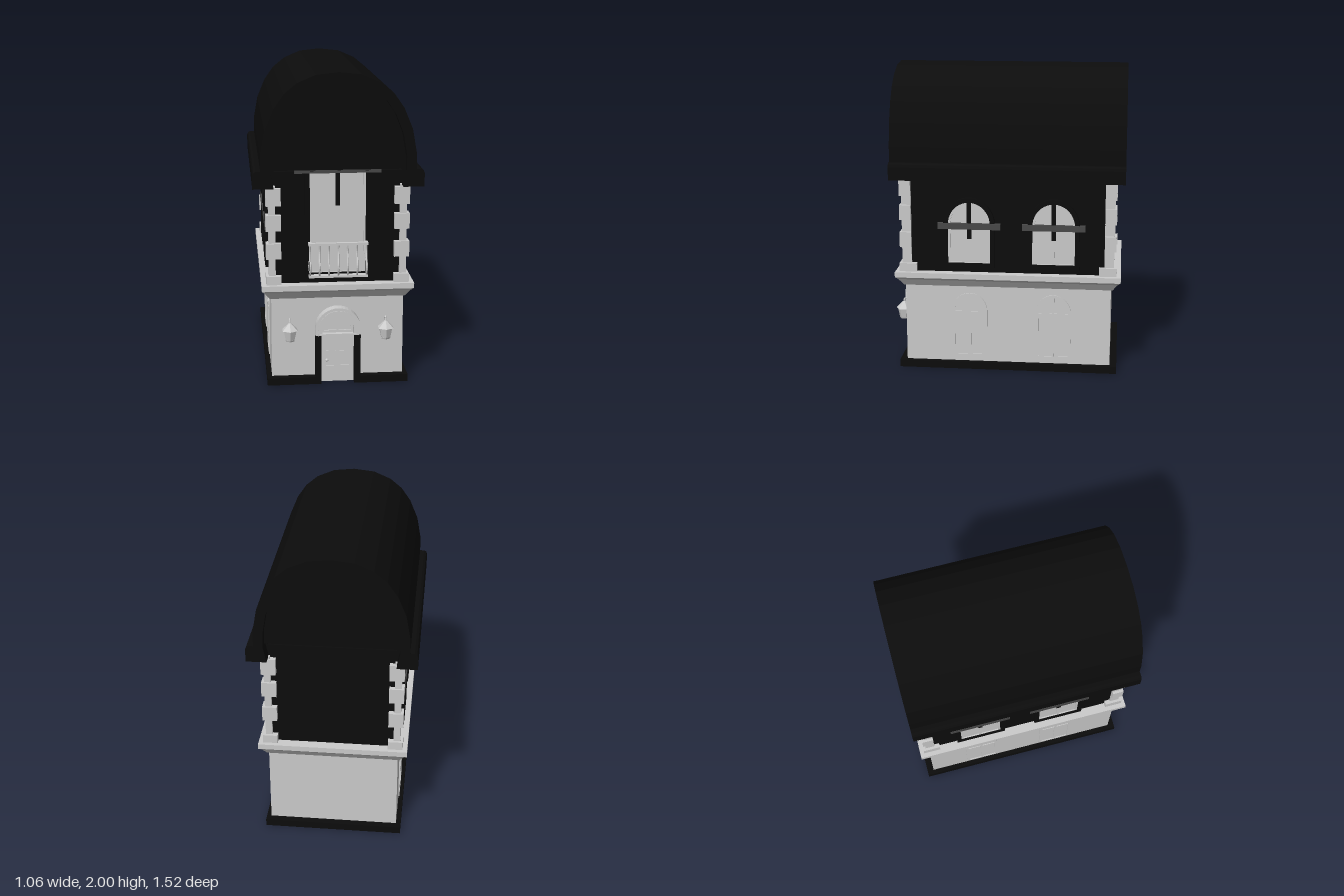
import * as THREE from 'three';

const mat = (color) => new THREE.MeshStandardMaterial({ color, side: THREE.DoubleSide, flatShading: true });
const GREY = mat(0xcccccc), BLACK = mat(0x0c0c0c), DARK = mat(0x484848);

function add(parent, name, geometry, material = GREY, x = 0, y = 0, z = 0) {
  const mesh = new THREE.Mesh(geometry, material);
  mesh.name = name;
  mesh.position.set(x, y, z);
  parent.add(mesh);
  return mesh;
}

// Box given by its minimum and maximum corners
function block(parent, name, a, b, material) {
  const size = b.map((v, i) => Math.abs(v - a[i])), mid = b.map((v, i) => (v + a[i]) / 2);
  return add(parent, name, new THREE.BoxGeometry(...size), material, ...mid);
}

// Box whose upper rectangle differs from its lower one (half sizes)
function flare(parent, name, lower, upper, y0, y1, material) {
  const g = new THREE.BoxGeometry(2, y1 - y0, 2), p = g.attributes.position;
  for (let i = 0; i < p.count; i++) {
    const half = p.getY(i) > 0 ? upper : lower;
    p.setX(i, p.getX(i) * half[0]);
    p.setZ(i, p.getZ(i) * half[1]);
  }
  g.computeVertexNormals();
  return add(parent, name, g, material, 0, (y0 + y1) / 2, 0);
}

// Round-headed outline: half width, bottom, spring line, top
function archShape(w, bottom, spring, top) {
  const s = new THREE.Shape();
  s.moveTo(-w, bottom).lineTo(w, bottom).lineTo(w, spring);
  s.absellipse(0, spring, w, top - spring, 0, Math.PI, false, 0);
  s.closePath();
  return s;
}

const extrude = (shape, depth) =>
  new THREE.ExtrudeGeometry(shape, { depth, bevelEnabled: false, curveSegments: 10 });

function archRing(w, bottom, spring, top, t, depth) {
  const s = archShape(w, bottom, spring, top);
  s.holes.push(archShape(w - t, bottom + t, spring, top - t));
  return extrude(s, depth);
}

// Arched window facing +z, with its wall plane at z = 0
function upperWindow(name, w, bottom, spring, top, bar) {
  const g = new THREE.Group();
  g.name = name;
  add(g, 'surround', archRing(w + 0.03, bottom - 0.02, spring, top + 0.03, 0.03, 0.025), BLACK);
  add(g, 'pane', extrude(archShape(w, bottom, spring, top), 0.008));
  add(g, 'casement', archRing(w, bottom, spring, top, 0.014, 0.016));
  const mid = spring - (spring - bottom) * 0.35;
  block(g, 'upperMullion', [-0.014, mid, 0], [0.014, top, 0.017], BLACK);
  block(g, 'lowerMullion', [-0.008, bottom, 0], [0.008, mid, 0.014]);
  block(g, 'transom', [-bar, spring - 0.028, 0], [bar, spring + 0.012, 0.028], DARK);
  return g;
}

function lowerWindow() {
  const g = new THREE.Group();
  g.name = 'groundFloorWindow';
  const frame = add(g, 'frame', archRing(0.115, 0.08, 0.4, 0.52, 0.018, 0.04));
  frame.position.z = -0.032;
  add(g, 'pane', extrude(archShape(0.1, 0.09, 0.4, 0.51), 0.024), GREY, 0, 0, -0.022);
  block(g, 'mullion', [-0.007, 0.09, -0.03], [0.007, 0.51, 0.007]);
  block(g, 'transom', [-0.1, 0.38, -0.03], [0.1, 0.395, 0.007]);
  return g;
}

function lantern(x) {
  const g = new THREE.Group();
  g.name = 'wallLantern';
  add(g, 'lampBody', new THREE.CylinderGeometry(0.046, 0.032, 0.065, 6), GREY, 0, 0.335, 0.712);
  add(g, 'lampBase', new THREE.CylinderGeometry(0.034, 0.03, 0.01, 6), GREY, 0, 0.3, 0.712);
  add(g, 'lampCap', new THREE.CylinderGeometry(0.008, 0.054, 0.045, 6), GREY, 0, 0.39, 0.712);
  add(g, 'finial', new THREE.CylinderGeometry(0.003, 0.006, 0.025, 6), GREY, 0, 0.424, 0.712);
  const hook = new THREE.CatmullRomCurve3([[0.67, 0.4], [0.68, 0.428], [0.698, 0.436], [0.712, 0.42]]
    .map(([z, y]) => new THREE.Vector3(0, y, z)));
  add(g, 'bracket', new THREE.TubeGeometry(hook, 10, 0.005, 6), GREY);
  g.position.x = x;
  return g;
}

function doorway() {
  const g = new THREE.Group();
  g.name = 'doorway';
  for (const s of [-1, 1])
    block(g, 'doorPilaster', [s * 0.105, 0, 0.66], [s * 0.145, 0.33, 0.72], BLACK);
  // Arch band over the pilasters
  const arch = archShape(0.145, 0.33, 0.365, 0.51);
  arch.holes.push(archShape(0.1, 0.3305, 0.365, 0.465));
  add(g, 'doorArch', extrude(arch, 0.07), GREY, 0, 0, 0.665);
  add(g, 'archMoulding', archRing(0.128, 0.33, 0.365, 0.493, 0.012, 0.008), GREY, 0, 0, 0.732);
  block(g, 'doorLeaf', [-0.105, 0.01, 0.655], [0.105, 0.33, 0.68]);
  add(g, 'fanlight', extrude(archShape(0.1, 0.33, 0.365, 0.465), 0.015), GREY, 0, 0, 0.662);
  add(g, 'fanlightFrame', archRing(0.1, 0.335, 0.36, 0.46, 0.014, 0.022), GREY, 0, 0, 0.665);
  block(g, 'fanlightBar', [-0.007, 0.34, 0.665], [0.007, 0.455, 0.686]);
  // Raised panels
  for (const s of [-1, 1])
    for (const [y0, y1] of [[0.035, 0.11], [0.13, 0.21], [0.23, 0.31]])
      block(g, 'doorPanel', [s * 0.014, y0, 0.675], [s * 0.075, y1, 0.685]);
  add(g, 'doorKnob', new THREE.SphereGeometry(0.01, 10, 8), GREY, -0.07, 0.15, 0.693);
  return g;
}

function balcony() {
  const g = new THREE.Group();
  g.name = 'balcony';
  block(g, 'balconyFloor', [-0.185, 0.712, 0.66], [0.185, 0.726, 0.735]);
  block(g, 'frontRail', [-0.187, 0.92, 0.715], [0.187, 0.936, 0.738]);
  // Bellied balusters: offset outwards and height
  const profile = [[0, 0.72], [0.022, 0.76], [0.024, 0.79], [0.004, 0.84], [-0.006, 0.88], [0, 0.925]];
  const baluster = (x, z, dx, dz) => {
    const path = new THREE.CatmullRomCurve3(profile.map(([o, y]) => new THREE.Vector3(x + o * dx, y, z + o * dz)));
    add(g, 'baluster', new THREE.TubeGeometry(path, 14, 0.006, 6));
  };
  for (let i = 0; i < 7; i++) baluster(-0.177 + i * 0.059, 0.724, 0, 1);
  for (const s of [-1, 1]) {
    block(g, 'sideRail', [s * 0.167, 0.92, 0.66], [s * 0.187, 0.936, 0.738]);
    baluster(s * 0.175, 0.69, s * 0.4, 0);
  }
  return g;
}

export function createModel() {
  const model = new THREE.Group();
  model.name = 'townHouse';

  // Ground floor: hollow walls, open underneath
  for (const s of [-1, 1]) {
    block(model, 'sideWall', [s * 0.41, 0, -0.675], [s * 0.42, 0.58, 0.675]);
    block(model, 'endWall', [-0.41, 0, s * 0.665], [0.41, 0.58, s * 0.675]);
    block(model, 'sidePlinth', [s * 0.415, 0, -0.72], [s * 0.45, 0.048, 0.72], BLACK);
    block(model, 'frontPlinth', [s * 0.13, 0, 0.67], [s * 0.42, 0.048, 0.72], BLACK);
  }
  block(model, 'backPlinth', [-0.42, 0, -0.72], [0.42, 0.048, -0.67], BLACK);
  model.add(doorway(), lantern(-0.305), lantern(0.305));

  // Cornice between the floors
  flare(model, 'corniceCove', [0.43, 0.685], [0.462, 0.718], 0.568, 0.615);
  flare(model, 'corniceStep', [0.465, 0.72], [0.478, 0.733], 0.615, 0.63);
  flare(model, 'corniceBand', [0.48, 0.737], [0.48, 0.737], 0.63, 0.665);

  // Half profile of the vaulted roof, from spring to crown
  const curve = [[0.48, 1.4], [0.479, 1.5], [0.452, 1.65], [0.398, 1.78], [0.335, 1.87],
    [0.255, 1.936], [0.14, 1.985], [0, 2]];
  const vault = (kx, ky) => {
    const half = curve.map(([x, y]) => [x * kx, 1.29 + (y - 1.29) * ky]);
    return [...half, ...half.slice(0, -1).reverse().map(([x, y]) => [-x, y])];
  };
  const toShape = (pts) => new THREE.Shape(pts.map(([x, y]) => new THREE.Vector2(x, y)));
  const eave = [[0.4, 1.29], [0.53, 1.29], [0.53, 1.375], [0.523, 1.392], [0.508, 1.4]];
  const inner = vault(0.875, 0.92);

  // Upper floor with its round gables
  add(model, 'upperWalls', extrude(toShape([[-0.42, 0.66], [0.42, 0.66], [0.42, 1.3], ...inner, [-0.42, 1.3]]), 1.34),
    BLACK, 0, 0, -0.67);
  const outline = [...eave, ...vault(1, 1), ...eave.map(([x, y]) => [-x, y]).reverse(), ...inner.slice().reverse()];
  add(model, 'vaultedRoof', extrude(toShape(outline), 1.51), BLACK, 0, 0, -0.755);
  const lip = toShape(vault(0.9, 0.935));
  lip.holes.push(toShape(vault(0.83, 0.88)));
  for (const z of [-0.7, 0.67]) add(model, 'gableMoulding', extrude(lip, 0.03), BLACK, 0, 0, z);

  // Corner stones, alternately long and short
  const rows = [0.72, 0.83, 0.93, 1.01, 1.11, 1.17, 1.28];
  for (const sx of [-1, 1]) for (const sz of [-1, 1]) {
    block(model, 'cornerStoneBase', [sx * 0.355, 0.665, sz * 0.595], [sx * 0.45, 0.72, sz * 0.71]);
    rows.slice(1).forEach((y, i) => {
      const long = i % 2 === 1;
      block(model, 'cornerStone', [sx * (long ? 0.355 : 0.39), rows[i], sz * 0.63],
        [sx * (long ? 0.45 : 0.433), y, sz * (long ? 0.705 : 0.692)]);
    });
    block(model, 'cornerStoneTop', [sx * 0.39, 1.28, sz * 0.63], [sx * 0.433, 1.295, sz * 0.692]);
  }

  // Windows
  const front = upperWindow('frontWindow', 0.175, 0.725, 1.4, 1.6, 0.27);
  front.position.z = 0.67;
  model.add(front, balcony());
  for (const s of [-1, 1]) for (const z of [0.25, -0.3])
    for (const w of [upperWindow('sideWindow', 0.138, 0.72, 0.985, 1.135, 0.205), lowerWindow()]) {
      w.position.set(s * 0.42, 0, z);
      w.rotation.y = s * Math.PI / 2;
      model.add(w);
    }
  return model;
}
